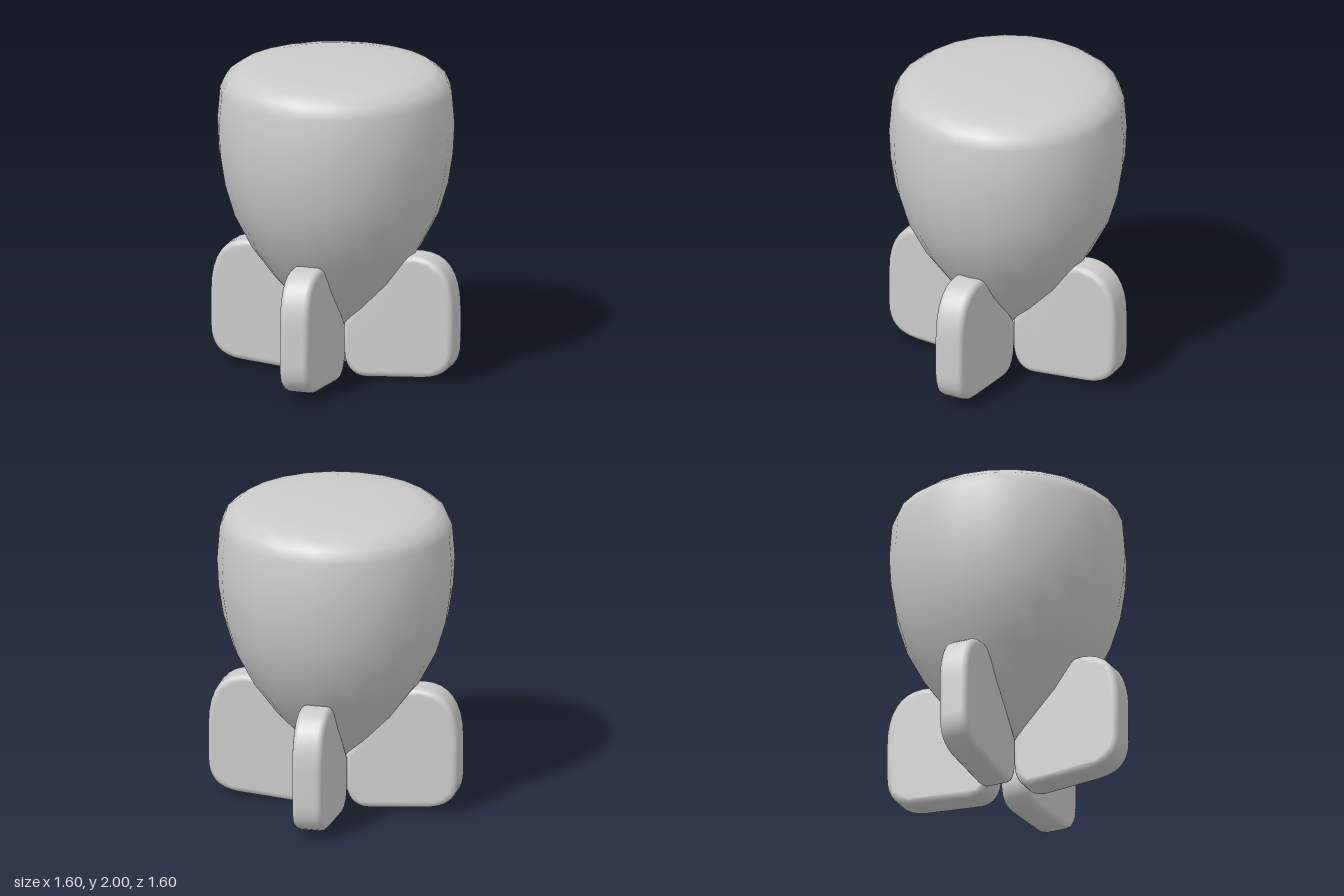
import * as THREE from 'three';
import { mergeVertices } from 'three/addons/utils/BufferGeometryUtils.js';

const material = new THREE.MeshStandardMaterial({ color: 0xcccccc });

// Pointed below, widest near the top, closed by a slightly domed lid
function createBody() {
  const profile = [
    [0, 0.26], [0.1, 0.345], [0.22, 0.45], [0.38, 0.625], [0.53, 0.83], [0.64, 1.04],
    [0.7, 1.24], [0.73, 1.43], [0.74, 1.62], [0.723, 1.83], [0.69, 1.905],
    [0.62, 1.957], [0.5, 1.982], [0.3, 1.997], [0, 2],
  ].map(([r, y]) => new THREE.Vector2(r, y));
  const body = new THREE.Mesh(new THREE.LatheGeometry(profile, 24), material);
  body.name = 'body';
  return body;
}

// Thick rounded plate reaching from the axis outwards along +x
function createFinGeometry() {
  const outline = new THREE.Shape();
  outline.moveTo(0.08, 0.17);
  outline.bezierCurveTo(0.08, 0.07, 0.13, 0.0, 0.23, 0.005);
  outline.lineTo(0.6, 0.035);
  outline.bezierCurveTo(0.74, 0.05, 0.8, 0.12, 0.8, 0.25);
  outline.lineTo(0.8, 0.48);
  outline.bezierCurveTo(0.8, 0.7, 0.71, 0.82, 0.55, 0.82);
  outline.bezierCurveTo(0.47, 0.82, 0.43, 0.78, 0.38, 0.7);
  outline.lineTo(0.08, 0.34);
  outline.closePath();

  const bevel = 0.035, thickness = 0.194;
  const geometry = new THREE.ExtrudeGeometry(outline, {
    depth: thickness - 2 * bevel, curveSegments: 8,
    bevelSize: bevel, bevelThickness: bevel, bevelOffset: -bevel, bevelSegments: 3,
  });
  geometry.translate(0, 0, bevel - thickness / 2);

  // Weld the corners for soft shading around the edges
  geometry.deleteAttribute('normal');
  geometry.deleteAttribute('uv');
  const welded = mergeVertices(geometry, 1e-4);
  welded.computeVertexNormals();
  return welded;
}

export function createModel() {
  const model = new THREE.Group();
  model.name = 'finnedPod';
  model.add(createBody());

  // Four fins around the tip
  const finGeometry = createFinGeometry();
  ['leftFin', 'backFin', 'rightFin', 'frontFin'].forEach((name, i) => {
    const fin = new THREE.Mesh(finGeometry, material);
    fin.name = name;
    fin.rotation.y = i * Math.PI / 2;
    model.add(fin);
  });
  return model;
}
